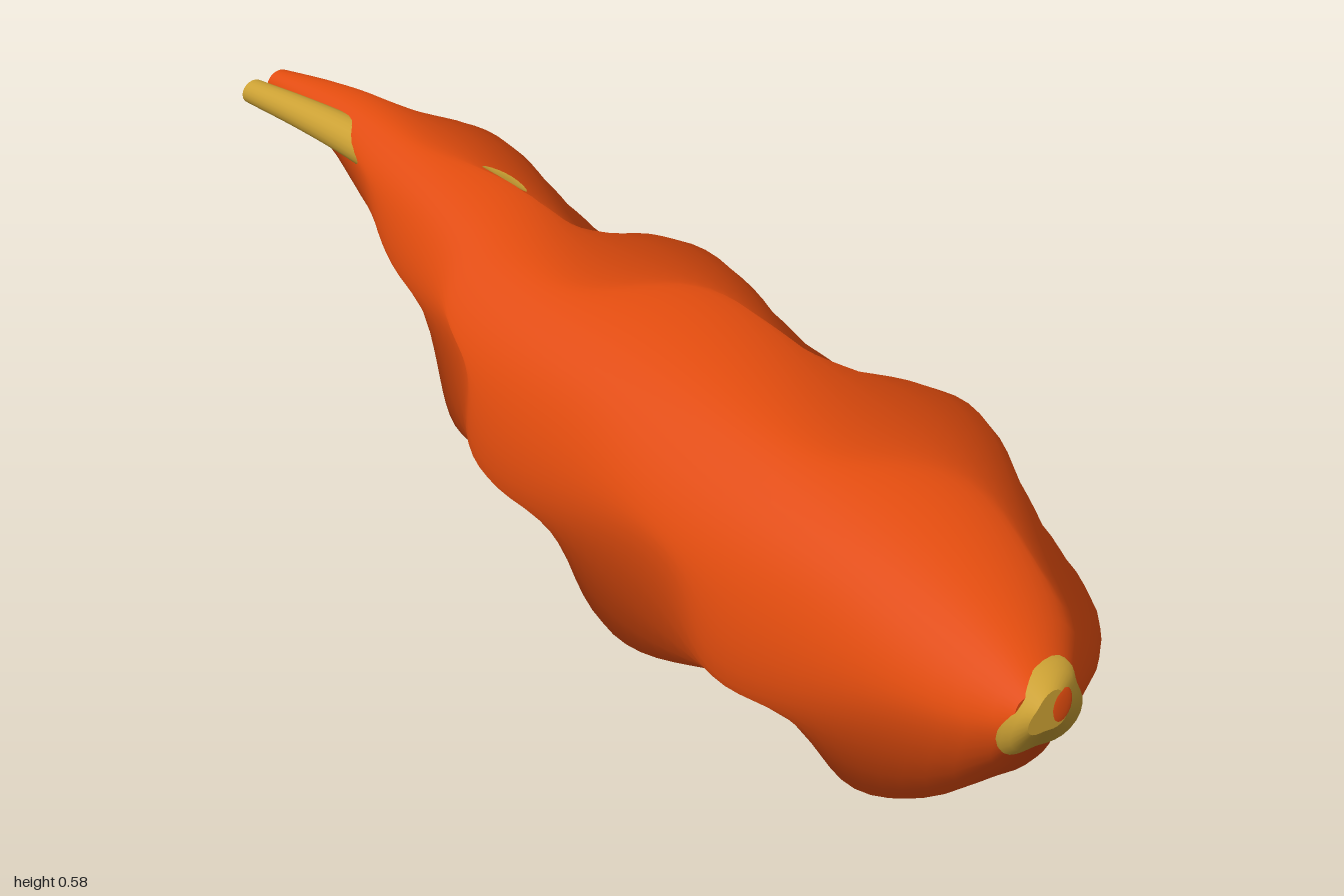
import * as THREE from 'three';

// Piecewise smooth interpolation over [z, value] pairs (z falling)
function profile(pairs) {
  return (z) => {
    let i = 0;
    while (i < pairs.length - 2 && z < pairs[i + 1][0]) i++;
    const at = (j) => pairs[Math.min(pairs.length - 1, Math.max(0, j))];
    const [a, b, c, d] = [at(i - 1), at(i), at(i + 1), at(i + 2)];
    const t = Math.min(1, Math.max(0, (b[0] - z) / (b[0] - c[0])));
    const h = b[0] - c[0];
    const m1 = ((c[1] - a[1]) / (a[0] - c[0])) * h;
    const m2 = ((d[1] - b[1]) / (b[0] - d[0])) * h;
    const t2 = t * t, t3 = t2 * t;
    return (2 * t3 - 3 * t2 + 1) * b[1] + (t3 - 2 * t2 + t) * m1
      + (3 * t2 - 2 * t3) * c[1] + (t3 - t2) * m2;
  };
}

const radius = profile([[0.99, 0.05], [0.98, 0.085], [0.95, 0.13], [0.9, 0.17], [0.8, 0.213], [0.7, 0.234],
  [0.6, 0.246], [0.4, 0.246], [0.2, 0.238], [0, 0.212], [-0.2, 0.175], [-0.4, 0.141],
  [-0.6, 0.103], [-0.8, 0.06], [-0.9, 0.042], [-1, 0.024]]);
const axisX = profile([[1, 0], [0.8, 0], [0.5, 0], [0.2, -0.015], [0, -0.035], [-0.15, -0.01],
  [-0.3, 0.035], [-0.45, 0.06], [-0.6, 0.075], [-0.8, 0.09], [-0.9, 0.078], [-1, 0.055]]);
const axisY = profile([[1, 0.295], [0.75, 0.297], [0.5, 0.28], [0.2, 0.3], [0, 0.303], [-0.2, 0.283],
  [-0.4, 0.293], [-0.6, 0.297], [-1, 0.298]]);

// Root skin: lumps that alternate around and along the root, and one dent near the tip
function skin(theta, z, grow = 0) {
  const fade = Math.min(1, Math.max(0, (z + 1) / 0.4));
  const lumps = 0.175 * Math.cos(4 * theta) * Math.cos(theta + 11.2 * (z - 0.37));
  const square = -0.03 * Math.cos(4 * theta);
  const dent = -0.2 * Math.exp(-(((theta - 1.22) / 0.32) ** 2) - ((z + 0.4) / 0.13) ** 2);
  const r = radius(z) * (1 + fade * (lumps + square) + dent) + grow;
  return [axisX(z) + r * Math.cos(theta), axisY(z) + r * Math.sin(theta), z];
}

// Closed loops joined into a surface, shaded softly outward, with a flat cap at either end
function loft(rings, point, sides) {
  const pos = [], index = [];
  for (let i = 0; i < rings; i++)
    for (let j = 0; j < sides; j++) pos.push(...point(i, (j / sides) * Math.PI * 2));
  for (let i = 0; i < rings - 1; i++)
    for (let j = 0; j < sides; j++) {
      const a = i * sides + j, b = i * sides + (j + 1) % sides;
      index.push(a, a + sides, b, b, a + sides, b + sides);
    }
  for (const [ring, flip] of [[0, false], [rings - 1, true]]) {
    const c = [0, 0, 0], start = pos.length / 3;
    for (let j = 0; j < sides; j++) {
      const p = pos.slice((ring * sides + j) * 3, (ring * sides + j) * 3 + 3);
      p.forEach((v, k) => { c[k] += v / sides; });
      pos.push(...p);
    }
    pos.push(...c);
    for (let j = 0; j < sides; j++) {
      const a = start + j, b = start + (j + 1) % sides;
      index.push(start + sides, flip ? b : a, flip ? a : b);
    }
  }
  const g = new THREE.BufferGeometry();
  g.setAttribute('position', new THREE.Float32BufferAttribute(pos, 3));
  g.setIndex(index);
  g.computeVertexNormals();
  for (let i = 0; i < rings * sides; i++) {
    const a = ((i % sides) / sides) * Math.PI * 2;
    g.attributes.normal.setXYZ(i, Math.cos(a), Math.sin(a), 0);
  }
  return g;
}

export function createModel() {
  const model = new THREE.Group();
  const orange = new THREE.MeshStandardMaterial({ name: 'orange skin', color: 0xe24c0e });
  const yellow = new THREE.MeshStandardMaterial({ name: 'yellow core', color: 0xcda234 });
  const add = (name, geometry, material) => {
    const mesh = new THREE.Mesh(geometry, material);
    mesh.name = name;
    model.add(mesh);
    return mesh;
  };

  // Main root, with a short lip at the thick end
  const rings = 72;
  const ringZ = (i) => (i === 0 ? 0.99 : 0.98 - 1.98 * (i - 1) / (rings - 2));
  add('rootBody', loft(rings, (i, a) => skin(a, ringZ(i)), 48), orange);

  // Three-cornered core showing at the thick end
  const core = [[0.998, 0.035], [0.995, 0.062], [0.988, 0.073], [0.978, 0.074]];
  add('frontCore', loft(core.length, (i, a) => {
    const [z, r0] = core[i];
    const r = r0 * (1 + 0.15 * Math.cos(3 * (a - 1.4)));
    return [0.01 + r * Math.cos(a), 0.298 + r * Math.sin(a), z];
  }, 36), yellow);

  // Orange fleck in the core
  const fleck = add('coreFleck', new THREE.SphereGeometry(1, 16, 10), orange);
  fleck.scale.set(0.02, 0.033, 0.004);
  fleck.position.set(0.034, 0.3, 0.996);

  // Core strand emerging beside the thin tip
  const path = new THREE.CatmullRomCurve3([[0.07, 0.31, -0.58], [0.043, 0.322, -0.72],
    [0.024, 0.314, -0.87], [0.003, 0.3, -1]].map((p) => new THREE.Vector3(...p)));
  add('tailCore', loft(20, (i, a) => {
    const p = path.getPoint(i / 19);
    const r = 0.042 - 0.02 * i / 19;
    return [p.x + r * Math.cos(a), p.y + r * Math.sin(a), -0.58 - 0.42 * i / 19];
  }, 20), yellow);

  // Bare spot where the core shows through the dent
  const spot = [skin(1.2, -0.4, 0.005)], fan = [], n = 20;
  for (let j = 0; j < n; j++) {
    const a = (j / n) * Math.PI * 2;
    spot.push(skin(1.2 + 0.14 * Math.cos(a) - 0.08 * Math.sin(a), -0.4 + 0.052 * Math.sin(a), 0.005));
    fan.push(0, 1 + j, 1 + (j + 1) % n);
  }
  const spotGeometry = new THREE.BufferGeometry();
  spotGeometry.setAttribute('position', new THREE.Float32BufferAttribute(spot.flat(), 3));
  spotGeometry.setIndex(fan);
  spotGeometry.computeVertexNormals();
  add('bareSpot', spotGeometry, yellow);

  return model;
}
